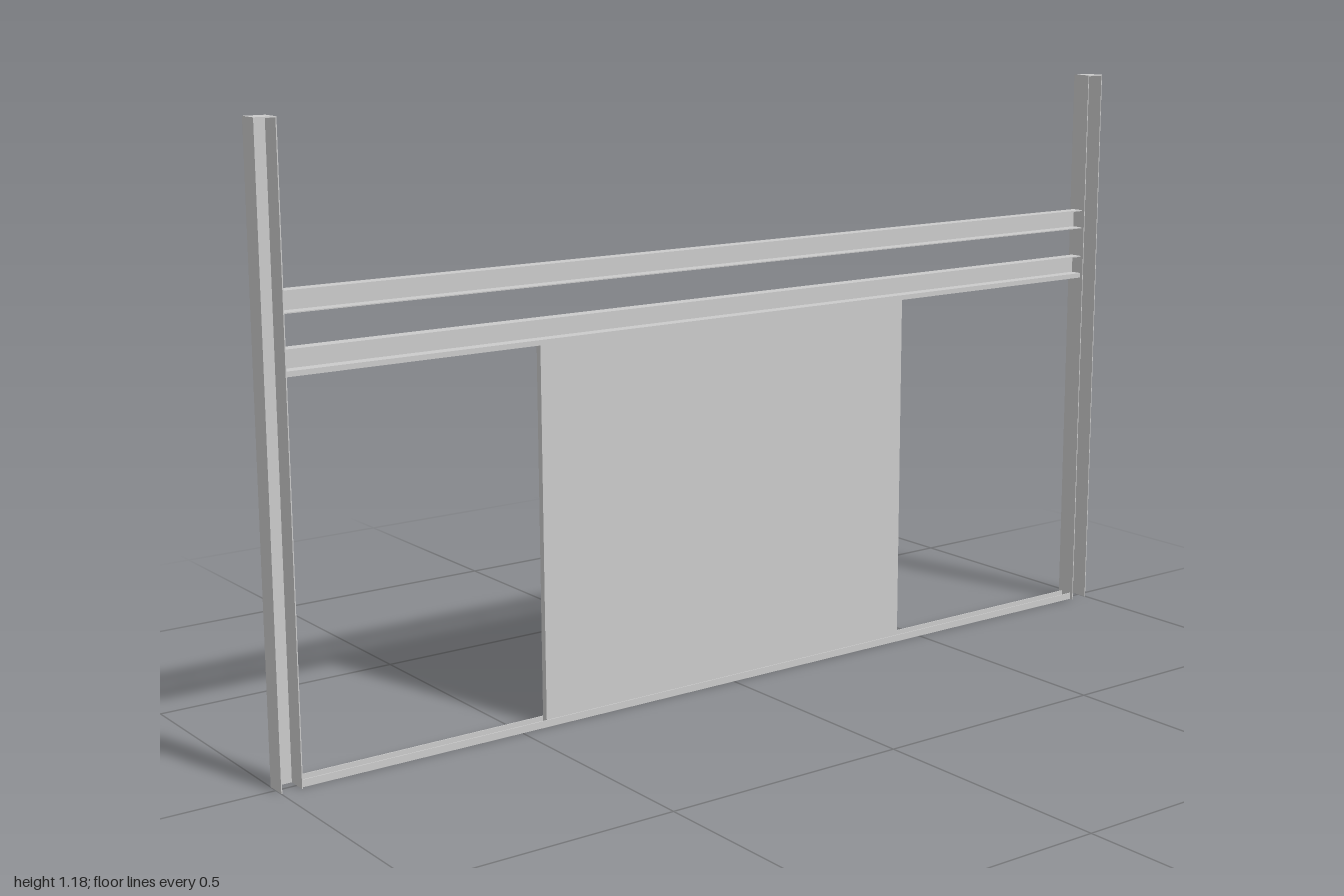
import * as THREE from 'three';

const material = new THREE.MeshStandardMaterial({ color: 0xcccccc, flatShading: true, side: THREE.DoubleSide });
const SHEET = 0.002; // sheet metal thickness

// Thin U section, open towards +x, extruded along z and centred.
function channel(width, height, length) {
  const w = width / 2, h = height / 2, t = SHEET;
  const shape = new THREE.Shape([
    [-w, -h], [w, -h], [w, -h + t], [-w + t, -h + t],
    [-w + t, h - t], [w, h - t], [w, h], [-w, h],
  ].map(([x, y]) => new THREE.Vector2(x, y)));
  return new THREE.ExtrudeGeometry(shape, { depth: length, bevelEnabled: false })
    .translate(0, 0, -length / 2);
}

export function createModel() {
  const group = new THREE.Group();
  const add = (name, geometry, x, y, z) => {
    const mesh = new THREE.Mesh(geometry, material);
    mesh.name = name;
    mesh.position.set(x, y, z);
    group.add(mesh);
  };

  const postHeight = 1.178, postSize = 0.042, span = 1.916;
  const railX = 0.001, railWidth = 0.027;

  // Upright posts: channels open to +x with a closed top
  for (const side of [1, -1]) {
    const name = side > 0 ? 'frontPost' : 'backPost';
    const z = side * (1 - postSize / 2);
    add(name, channel(postSize, postSize, postHeight).rotateX(-Math.PI / 2), 0, postHeight / 2, z);
    add(name + 'Cap', new THREE.BoxGeometry(postSize, SHEET, postSize), 0, postHeight - SHEET / 2, z);
  }

  // Two horizontal rails, open to +x
  add('upperRail', channel(railWidth, 0.04, span), railX, 0.865, 0);
  add('lowerRail', channel(railWidth, 0.04, span), railX, 0.764, 0);

  // Guide tracks: the top one opens downwards, the bottom one upwards
  add('topTrack', channel(0.009, railWidth, span).rotateZ(-Math.PI / 2), railX, 0.7405, 0);
  add('bottomTrack', channel(0.014, railWidth, span).rotateZ(Math.PI / 2), railX, 0.007, 0);

  // Sliding panel held between the tracks
  add('slidingPanel', new THREE.BoxGeometry(0.013, 0.736, 0.884), railX, 0.374, 0);

  return group;
}
